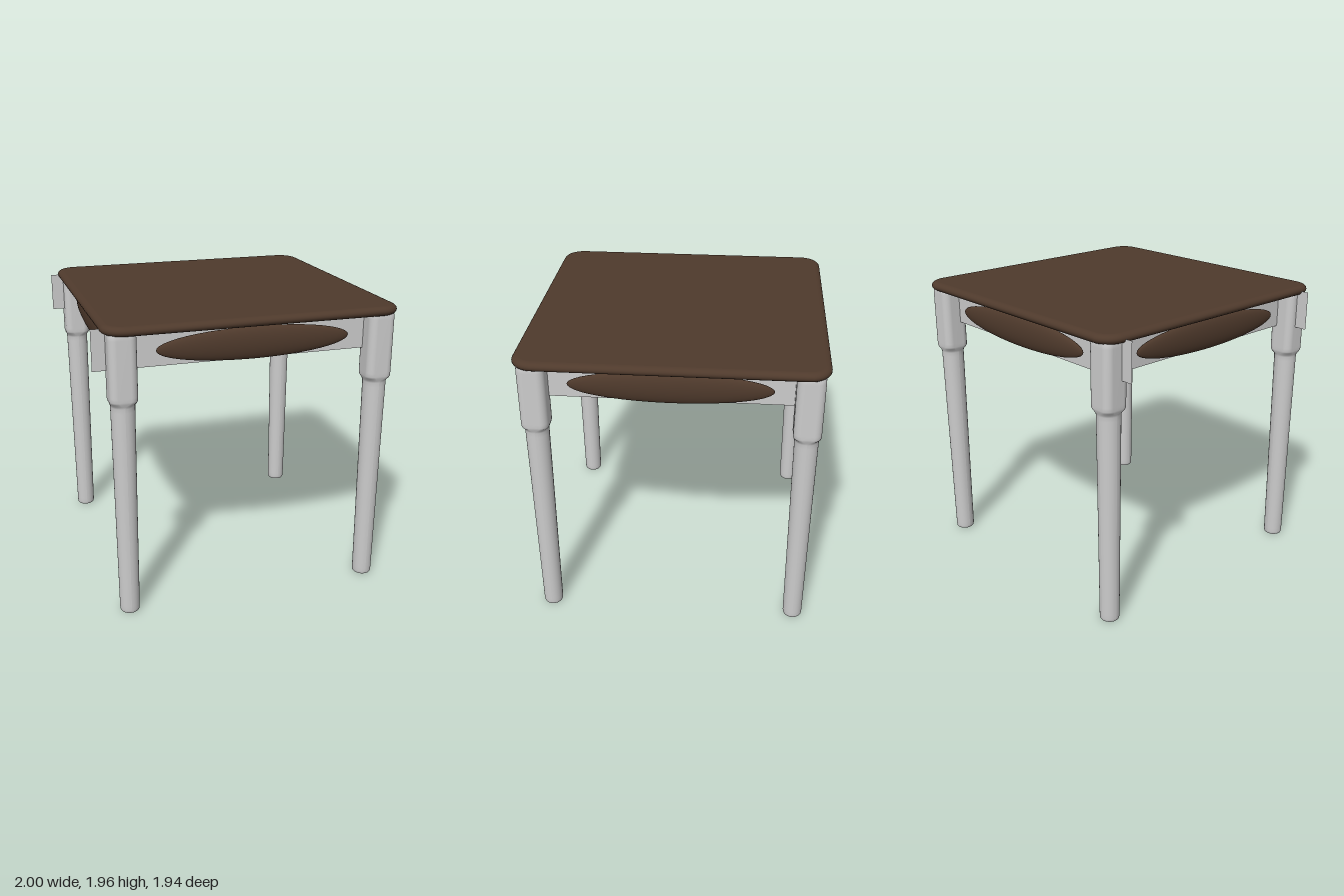
import * as THREE from 'three';

const CX = 0.025; // centre of the table body

// Lofts rounded-square rings [y, halfWidth, cornerRadius] from bottom to top
function loft(rings, capBottom = true, capTop = true, seg = 8) {
  const pos = [], idx = [];
  const addRing = ([y, h, r]) => {
    const start = pos.length / 3;
    for (let q = 0; q < 4; q++) {
      const mid = (q + 0.5) * Math.PI / 2;
      const cx = Math.sign(Math.cos(mid)) * (h - r), cz = Math.sign(Math.sin(mid)) * (h - r);
      for (let s = 0; s <= seg; s++) {
        const a = (q + (s + 0.02) / (seg + 0.04)) * Math.PI / 2;
        pos.push(cx + r * Math.cos(a), y, cz + r * Math.sin(a));
      }
    }
    return start;
  };
  const n = 4 * (seg + 1);
  const starts = rings.map(addRing);
  for (let i = 0; i < rings.length - 1; i++) {
    for (let j = 0; j < n; j++) {
      const k = (j + 1) % n, lo = starts[i], hi = starts[i + 1];
      idx.push(lo + j, hi + j, lo + k, hi + j, hi + k, lo + k);
    }
  }
  // caps have their own ring, so their edge stays crisp
  const cap = (ring, up) => {
    const s = addRing(ring), c = pos.length / 3;
    pos.push(0, ring[0], 0);
    for (let j = 0; j < n; j++) {
      const k = (j + 1) % n;
      if (up) idx.push(c, s + k, s + j);
      else idx.push(c, s + j, s + k);
    }
  };
  if (capBottom) cap(rings[0], false);
  if (capTop) cap(rings[rings.length - 1], true);
  const g = new THREE.BufferGeometry();
  g.setAttribute('position', new THREE.Float32BufferAttribute(pos, 3));
  g.setIndex(idx);
  g.computeVertexNormals();
  return g;
}

export function createModel() {
  const model = new THREE.Group();
  model.name = 'table';
  const brown = new THREE.MeshStandardMaterial({ color: 0x4f3a2c });
  brown.name = 'dark brown';
  const grey = new THREE.MeshStandardMaterial({ color: 0xcccccc, side: THREE.DoubleSide });
  grey.name = 'light grey';

  const add = (parent, name, geometry, material, x, y, z) => {
    const m = new THREE.Mesh(geometry, material);
    m.name = name;
    m.position.set(x, y, z);
    parent.add(m);
    return m;
  };

  // Table top with a fully rounded edge
  const edge = [];
  for (let i = 0; i <= 10; i++) {
    const a = -Math.PI / 2 + Math.PI * i / 10, out = 0.04 * (1 - Math.cos(a));
    edge.push([1.925 + 0.03 * Math.sin(a), 0.972 - out, 0.14 - out]);
  }
  add(model, 'tableTop', loft(edge), brown, CX, 0, 0);

  // Legs: rounded-square block blending into a tapering round shaft
  const legGeometry = loft([
    [0, 0.059, 0.059], [0.006, 0.063, 0.063], [0.02, 0.065, 0.065], [0.05, 0.0655, 0.0655],
    [0.75, 0.071, 0.071], [1.41, 0.0765, 0.0765], [1.44, 0.077, 0.077], [1.455, 0.079, 0.072],
    [1.472, 0.086, 0.056], [1.485, 0.0885, 0.05], [1.51, 0.0885, 0.048],
    [1.87, 0.0885, 0.048], [1.895, 0.087, 0.048], [1.905, 0.083, 0.045],
  ]);
  for (const sx of [-1, 1]) {
    for (const sz of [-1, 1]) {
      const name = (sz > 0 ? 'front' : 'back') + (sx > 0 ? 'Left' : 'Right') + 'Leg';
      add(model, name, legGeometry, grey, CX + sx * 0.85, 0, sz * 0.852);
    }
  }

  // Thin aprons; the front and back ones run past the legs at -x
  const longApron = new THREE.PlaneGeometry(1.85, 0.262);
  const sideApron = new THREE.PlaneGeometry(1.66, 0.262);
  // Oval bosses on the outside of each apron
  const boss = new THREE.SphereGeometry(1, 48, 24);
  for (const s of [-1, 1]) {
    const end = s > 0 ? 'front' : 'back', side = s > 0 ? 'left' : 'right';
    add(model, end + 'Apron', longApron, grey, -0.075, 1.794, s * 0.826);
    add(model, end + 'Oval', boss, brown, CX, 1.772, s * 0.862).scale.set(0.636, 0.104, 0.039);

    add(model, side + 'Apron', sideApron, grey, CX + s * 0.825, 1.794, 0).rotation.y = Math.PI / 2;
    add(model, side + 'Oval', boss, brown, CX + s * 0.864, 1.774, 0).scale.set(0.038, 0.104, 0.638);
  }
  return model;
}
